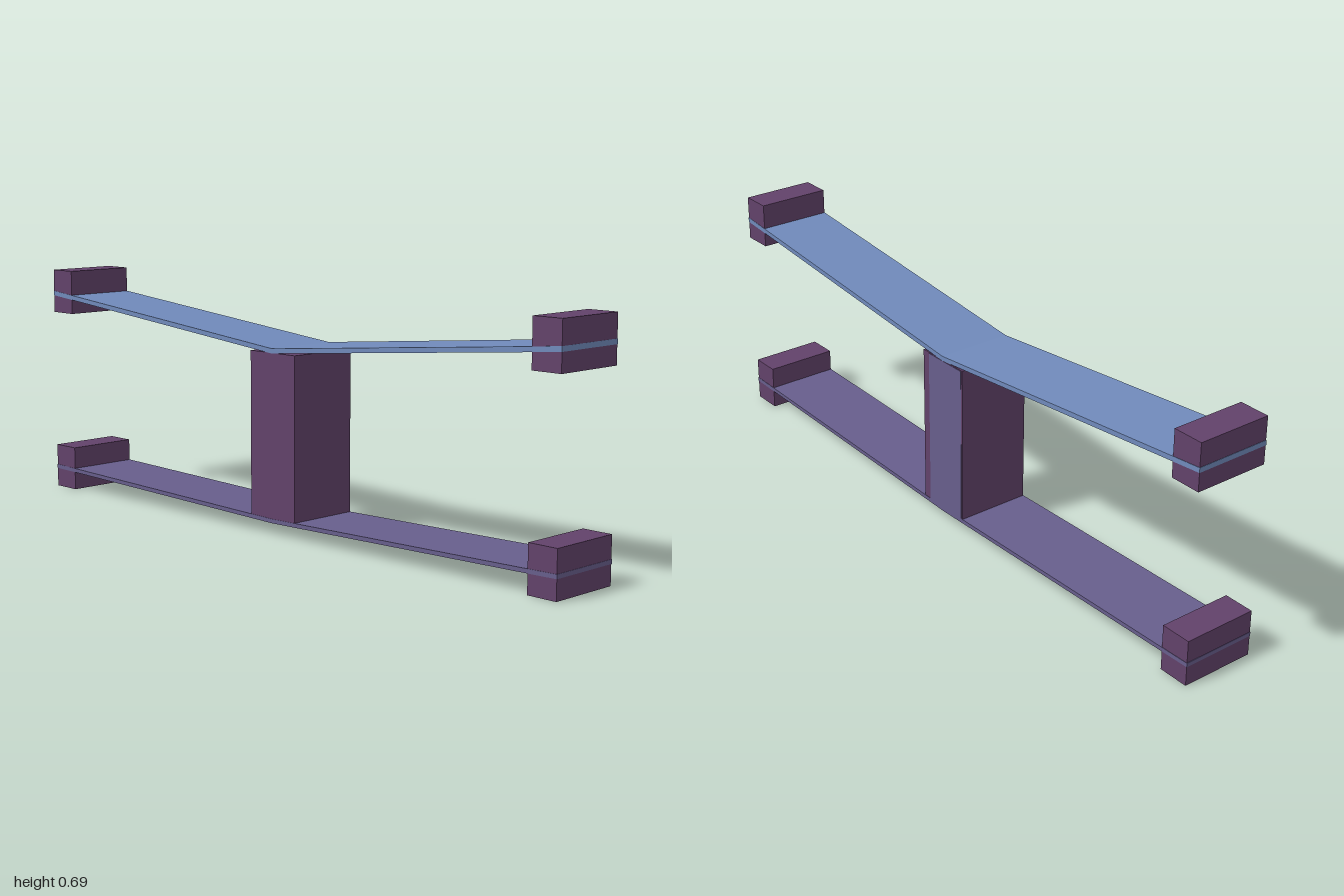
import * as THREE from 'three';

const DEPTH = 0.22;

function material(name, color) {
  const m = new THREE.MeshStandardMaterial({ color });
  m.name = name;
  return m;
}

export function createModel() {
  const model = new THREE.Group();
  model.name = 'doubleBeamFrame';
  const plum = material('plum', 0x62426a);
  const blue = material('blue', 0x708abb);
  const violet = material('violet', 0x675e8c);

  const add = (name, geometry, mat, x = 0, y = 0, z = 0) => {
    const mesh = new THREE.Mesh(geometry, mat);
    mesh.name = name;
    mesh.position.set(x, y, z);
    model.add(mesh);
  };

  // Shallow V beam, a hair proud of the end blocks so its edge shows as a stripe
  const beam = (name, mat, middle, end, thickness) => {
    const shape = new THREE.Shape();
    shape.moveTo(-1, end);
    shape.lineTo(0, middle);
    shape.lineTo(1, end);
    shape.lineTo(1, end + thickness);
    shape.lineTo(0, middle + thickness);
    shape.lineTo(-1, end + thickness);
    shape.closePath();
    const depth = DEPTH + 0.002;
    const geometry = new THREE.ExtrudeGeometry(shape, { depth, bevelEnabled: false });
    add(name, geometry, mat, 0, 0, -depth / 2);
  };
  beam('upperBeam', blue, 0.515, 0.61, 0.014);
  beam('lowerBeam', violet, 0.035, 0.057, 0.012);

  // Blocks on the four beam ends
  for (const [side, x] of [['left', 0.954], ['right', -0.954]]) {
    add(side + 'UpperBlock', new THREE.BoxGeometry(0.09, 0.133, DEPTH), plum, x, 0.6235, 0);
    add(side + 'LowerBlock', new THREE.BoxGeometry(0.09, 0.133, DEPTH), plum, x, 0.0665, 0);
  }

  // Central post with a violet panel on its back
  add('post', new THREE.BoxGeometry(0.176, 0.475, DEPTH), plum, 0, 0.2795, 0);
  add('backPanel', new THREE.BoxGeometry(0.145, 0.47, 0.002), violet, -0.01, 0.2795, -DEPTH / 2);

  return model;
}
